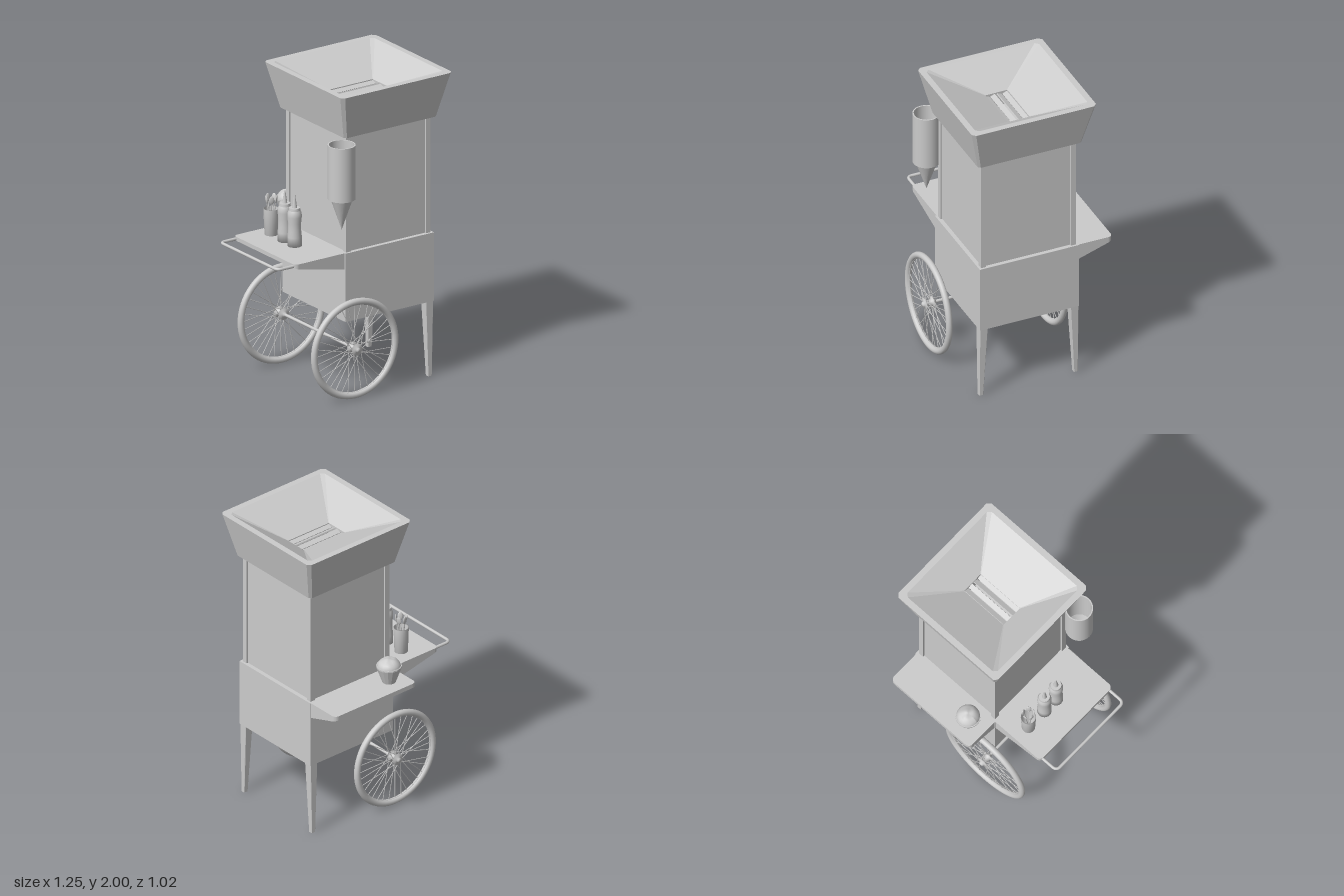
import * as THREE from 'three';

const smooth = new THREE.MeshStandardMaterial({ color: 0xcccccc, side: THREE.DoubleSide });
const flat = new THREE.MeshStandardMaterial({ color: 0xcccccc, side: THREE.DoubleSide, flatShading: true });
const V = (x, y, z) => new THREE.Vector3(x, y, z);

function add(parent, name, geometry, x = 0, y = 0, z = 0, material = smooth) {
  const mesh = new THREE.Mesh(geometry, material);
  mesh.name = name;
  mesh.position.set(x, y, z);
  parent.add(mesh);
  return mesh;
}

// Box given by its minimum and maximum corners
function span(parent, name, x0, x1, y0, y1, z0, z1) {
  return add(parent, name, new THREE.BoxGeometry(x1 - x0, y1 - y0, z1 - z0),
    (x0 + x1) / 2, (y0 + y1) / 2, (z0 + z1) / 2, flat);
}

function group(parent, name, x = 0, y = 0, z = 0) {
  const g = new THREE.Group();
  g.name = name;
  g.position.set(x, y, z);
  parent.add(g);
  return g;
}

const lathe = (points, sides = 24) =>
  new THREE.LatheGeometry(points.map(([r, y]) => new THREE.Vector2(r, y)), sides);

// Horizontal rectangle with chamfered corners, counter-clockwise seen from above
function ring(x0, x1, z0, z1, y, c) {
  return [[x0 + c, z1], [x1 - c, z1], [x1, z1 - c], [x1, z0 + c],
    [x1 - c, z0], [x0 + c, z0], [x0, z0 + c], [x0, z1 - c]].map(([x, z]) => [x, y, z]);
}

// Skin through successive rings, with both ends capped
function loft(rings) {
  const n = rings[0].length, index = [];
  for (let r = 0; r < rings.length - 1; r++) {
    for (let i = 0; i < n; i++) {
      const a = r * n + i, b = r * n + (i + 1) % n;
      index.push(a, b, b + n, a, b + n, a + n);
    }
  }
  const last = (rings.length - 1) * n;
  for (let i = 1; i < n - 1; i++) index.push(0, i + 1, i, last, last + i, last + i + 1);
  const g = new THREE.BufferGeometry();
  g.setAttribute('position', new THREE.Float32BufferAttribute(rings.flat(2), 3));
  g.setIndex(index);
  const out = g.toNonIndexed();
  out.computeVertexNormals();
  return out;
}

// Shelf: plan with two rounded outer corners, underside sloping down to the body
function shelf(width, depth, thin, thick) {
  const r = 0.03, w = width / 2, s = new THREE.Shape();
  s.moveTo(-w, 0);
  s.lineTo(w, 0);
  s.lineTo(w, depth - r);
  s.absarc(w - r, depth - r, r, 0, Math.PI / 2);
  s.lineTo(-w + r, depth);
  s.absarc(-w + r, depth - r, r, Math.PI / 2, Math.PI);
  s.lineTo(-w, 0);
  const g = new THREE.ExtrudeGeometry(s, { depth: 1, bevelEnabled: false, curveSegments: 6 });
  const p = g.attributes.position;
  for (let i = 0; i < p.count; i++) {
    if (p.getZ(i) < 0.5) p.setZ(i, -THREE.MathUtils.lerp(thick, thin, p.getY(i) / depth));
    else p.setZ(i, 0);
  }
  g.rotateX(-Math.PI / 2);
  g.computeVertexNormals();
  return g;
}

// Round bar between two points
function rod(parent, name, a, b, radius, sides = 6) {
  const d = b.clone().sub(a), m = a.clone().add(b).multiplyScalar(0.5);
  const mesh = add(parent, name, new THREE.CylinderGeometry(radius, radius, d.length(), sides), m.x, m.y, m.z);
  mesh.quaternion.setFromUnitVectors(V(0, 1, 0), d.normalize());
  return mesh;
}

function makeWheel(parent, name, z) {
  const w = group(parent, name, -0.1, 0.327, z);
  add(w, 'tyre', new THREE.TorusGeometry(0.306, 0.021, 12, 64));
  add(w, 'rim', new THREE.TorusGeometry(0.29, 0.008, 8, 64));
  const hub = lathe([[0, -0.047], [0.014, -0.045], [0.016, -0.032], [0.038, -0.03], [0.038, -0.022],
    [0.02, -0.016], [0.02, 0.016], [0.038, 0.022], [0.038, 0.03], [0.016, 0.032], [0.014, 0.045], [0, 0.047]], 20);
  add(w, 'hub', hub).rotation.x = Math.PI / 2;
  const count = 36;
  for (let i = 0; i < count; i++) {
    const a = i / count * Math.PI * 2, side = i % 2 ? 1 : -1;
    const b = a + (i % 4 < 2 ? 0.7 : -0.7);
    rod(w, 'spoke', V(Math.cos(b) * 0.034, Math.sin(b) * 0.034, side * 0.024),
      V(Math.cos(a) * 0.288, Math.sin(a) * 0.288, 0), 0.0025, 5);
  }
}

export function createModel() {
  const cart = new THREE.Group();
  cart.name = 'foodCart';

  // Lower body and recessed upper cabin with corner posts
  span(cart, 'lowerBody', -0.13, 0.54, 0.49, 0.94, -0.285, 0.39);
  span(cart, 'cabinPanels', -0.103, 0.513, 0.94, 1.72, -0.258, 0.363);
  for (const x of [-0.115, 0.49]) {
    for (const z of [-0.27, 0.34]) span(cart, 'cornerPost', x, x + 0.035, 0.94, 1.72, z, z + 0.035);
  }

  // Flared hopper: outside, rim, sloping inside, recess
  add(cart, 'hopper', loft([
    ring(-0.145, 0.555, -0.3, 0.405, 1.705, 0.015),
    ring(-0.215, 0.625, -0.37, 0.475, 2, 0.022),
    ring(-0.175, 0.585, -0.33, 0.435, 2, 0.022),
    ring(0.04, 0.37, -0.025, 0.125, 1.86, 0.003),
    ring(0.04, 0.37, -0.025, 0.125, 1.76, 0.003)]), 0, 0, 0, flat);
  for (let i = 0; i < 4; i++) {
    const slat = add(cart, 'hopperSlat', new THREE.BoxGeometry(0.328, 0.008, 0.034),
      0.205, 1.845, -0.007 + i * 0.038 + (i > 1 ? 0.006 : 0), flat);
    slat.rotation.x = i % 2 ? -0.4 : 0.4;
  }

  // Tapered legs
  add(cart, 'frontLeg', loft([ring(0.497, 0.527, 0.36, 0.388, 0, 0.003),
    ring(0.48, 0.537, 0.333, 0.388, 0.495, 0.003)]), 0, 0, 0, flat);
  add(cart, 'backLeg', loft([ring(0.497, 0.527, -0.283, -0.255, 0, 0.003),
    ring(0.48, 0.537, -0.283, -0.228, 0.495, 0.003)]), 0, 0, 0, flat);

  // Wheels and axle
  makeWheel(cart, 'frontWheel', 0.445);
  makeWheel(cart, 'backWheel', -0.34);
  rod(cart, 'axle', V(-0.1, 0.327, -0.34), V(-0.1, 0.327, 0.445), 0.01, 12);

  // Wedge shelves
  add(cart, 'sideShelf', shelf(0.66, 0.375, 0.026, 0.108), -0.13, 0.94, 0.05, flat).rotation.y = Math.PI / 2;
  add(cart, 'backShelf', shelf(0.66, 0.23, 0.03, 0.105), 0.205, 0.94, -0.285, flat);

  // Push handle
  const path = new THREE.CurvePath(), hx = -0.62, r = 0.035, hy = 0.925;
  path.add(new THREE.LineCurve3(V(-0.48, hy, -0.255), V(hx + r, hy, -0.255)));
  path.add(new THREE.QuadraticBezierCurve3(V(hx + r, hy, -0.255), V(hx, hy, -0.255), V(hx, hy, -0.255 + r)));
  path.add(new THREE.LineCurve3(V(hx, hy, -0.255 + r), V(hx, hy, 0.355 - r)));
  path.add(new THREE.QuadraticBezierCurve3(V(hx, hy, 0.355 - r), V(hx, hy, 0.355), V(hx + r, hy, 0.355)));
  path.add(new THREE.LineCurve3(V(hx + r, hy, 0.355), V(-0.48, hy, 0.355)));
  add(cart, 'pushHandle', new THREE.TubeGeometry(path, 120, 0.01, 10));

  // Paper cone dispenser
  const dispenser = group(cart, 'coneDispenser', -0.183, 0, 0.423);
  add(dispenser, 'tube', new THREE.CylinderGeometry(0.087, 0.087, 0.355, 28, 1, true), 0, 1.502, 0);
  add(dispenser, 'tubeLiner', new THREE.CylinderGeometry(0.079, 0.079, 0.355, 28, 1, true), 0, 1.502, 0);
  for (const y of [1.325, 1.6795]) {
    add(dispenser, 'tubeEdge', new THREE.RingGeometry(0.079, 0.087, 28), 0, y, 0).rotation.x = -Math.PI / 2;
  }
  add(dispenser, 'paperCone', lathe([[0, 1.12], [0.07, 1.325], [0.079, 1.35]], 28));

  // Squeeze bottles
  for (const z of [-0.02, 0.085]) {
    const bottle = group(cart, 'squeezeBottle', -0.3, 0.94, z);
    add(bottle, 'bottleBody', lathe([[0, 0], [0.045, 0], [0.045, 0.06], [0.041, 0.1], [0.041, 0.15],
      [0.045, 0.19], [0.044, 0.215], [0.036, 0.232]]));
    add(bottle, 'bottleCap', new THREE.CylinderGeometry(0.034, 0.037, 0.025, 20), 0, 0.237, 0);
    add(bottle, 'nozzle', new THREE.CylinderGeometry(0.004, 0.016, 0.085, 14), 0, 0.289, 0);
  }

  // Spoon cup
  const cup = group(cart, 'spoonCup', -0.3, 0.94, -0.165);
  add(cup, 'cupWall', lathe([[0, 0], [0.042, 0], [0.048, 0.17], [0.044, 0.17], [0.038, 0.01], [0, 0.01]]));
  for (let i = 0; i < 5; i++) {
    const spoon = group(cup, 'spoon', 0, 0.01, 0);
    rod(spoon, 'spoonStem', V(0, 0, 0), V(0.028, 0.2, 0), 0.004);
    const bowl = add(spoon, 'spoonBowl', new THREE.SphereGeometry(0.02, 12, 8), 0.032, 0.222, 0);
    bowl.scale.set(0.3, 1.4, 0.85);
    bowl.rotation.z = -0.14;
    spoon.rotation.y = 0.4 + i * Math.PI * 0.4;
  }

  // Filled cone resting in the back shelf
  const treat = group(cart, 'filledCone', -0.005, 0, -0.395);
  add(treat, 'cone', lathe([[0, 0.818], [0.08, 1.045], [0.08, 1.055], [0.072, 1.055]], 16), 0, 0, 0, flat);
  const scoop = new THREE.SphereGeometry(0.075, 18, 8, 0, Math.PI * 2, 0, Math.PI / 2);
  const p = scoop.attributes.position;
  for (let i = 0; i < p.count; i++) {
    const x = p.getX(i), z = p.getZ(i);
    p.setY(i, p.getY(i) * (0.75 + 0.06 * Math.sin(x * 90) * Math.cos(z * 80)));
  }
  scoop.computeVertexNormals();
  add(treat, 'scoop', scoop, 0, 1.047, 0);

  return cart;
}
